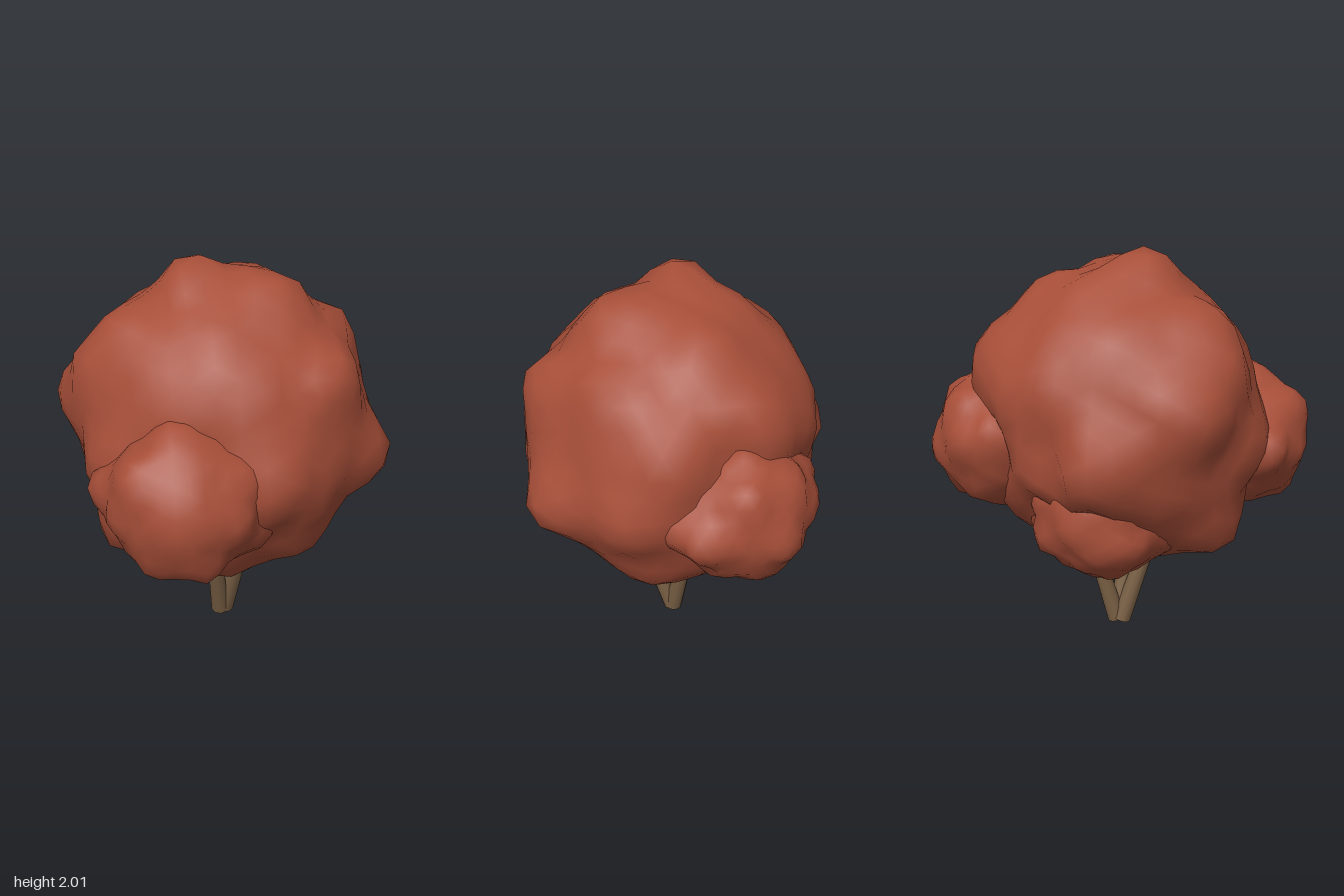
import * as THREE from 'three';
import { mergeVertices } from 'three/addons/utils/BufferGeometryUtils.js';

const leafMaterial = new THREE.MeshStandardMaterial({ color: 0xa64e38 });
const barkMaterial = new THREE.MeshStandardMaterial({ color: 0x7a6045 });

// Lumpy ball: a sphere pulled to given surface points (peaks or hollows), plus gentle waves
function makeClump(name, center, radius, detail, points, sharpness, wave, seed) {
  let geometry = new THREE.IcosahedronGeometry(1, detail);
  geometry.deleteAttribute('normal');
  geometry.deleteAttribute('uv');
  geometry = mergeVertices(geometry, 1e-4);

  const bumps = points.map((p) => {
    const v = new THREE.Vector3(...p);
    const height = v.length() - radius;
    return { dir: v.normalize(), height };
  });
  const pos = geometry.attributes.position;
  const d = new THREE.Vector3();
  for (let i = 0; i < pos.count; i++) {
    d.fromBufferAttribute(pos, i).normalize();
    let r = radius;
    r += wave * Math.sin(6 * d.x + seed) * Math.sin(7 * d.y + 2 * seed) * Math.cos(6.5 * d.z - seed);
    r += wave * 0.5 * Math.sin(13 * d.x - 9 * d.y + 11 * d.z + seed);
    let push = 0;
    for (const b of bumps) {
      const h = b.height * Math.exp((d.dot(b.dir) - 1) * sharpness);
      push = Math.abs(h) > Math.abs(push) ? h : push;
    }
    d.multiplyScalar(r + push);
    pos.setXYZ(i, d.x, d.y, d.z);
  }
  geometry.computeVertexNormals();
  const mesh = new THREE.Mesh(geometry, leafMaterial);
  mesh.name = name;
  mesh.position.set(...center);
  return mesh;
}

// Straight tapered stem between two points
function makeStem(name, from, to, bottomRadius, topRadius) {
  const a = new THREE.Vector3(...from);
  const b = new THREE.Vector3(...to);
  const axis = b.clone().sub(a);
  const mesh = new THREE.Mesh(
    new THREE.CylinderGeometry(topRadius, bottomRadius, axis.length(), 10), barkMaterial);
  mesh.name = name;
  mesh.position.copy(a).add(b).multiplyScalar(0.5);
  mesh.quaternion.setFromUnitVectors(new THREE.Vector3(0, 1, 0), axis.normalize());
  return mesh;
}

export function createModel() {
  const tree = new THREE.Group();
  tree.name = 'tree';

  // Three stems spreading from one foot
  const trunk = new THREE.Group();
  trunk.name = 'trunk';
  trunk.add(
    makeStem('frontStem', [0.01, 0.01, 0.005], [0.0, 0.6, 0.2], 0.05, 0.038),
    makeStem('rightStem', [-0.015, 0.01, 0.0], [-0.17, 0.6, 0.13], 0.05, 0.036),
    makeStem('leftStem', [0.015, 0.01, 0.0], [0.15, 0.6, -0.09], 0.048, 0.036),
  );
  tree.add(trunk);

  // Main crown, with its peaks given relative to its centre
  const peaks = [
    [-0.17, 0.84, -0.03], [0.12, 0.77, 0.18], [0.1, 0.77, 0.32], [0.33, 0.69, -0.15],
    [-0.3, 0.66, 0.24], [0.1, 0.64, 0.43], [-0.68, 0.42, -0.22], [-0.59, 0.56, -0.12],
    [-0.66, 0.2, -0.45], [0.76, 0.27, 0.05], [0.78, -0.06, 0.25], [0.5, -0.12, 0.67],
    [-0.25, -0.08, 0.76], [-0.27, -0.08, -0.76], [0.22, 0.25, -0.66], [0.55, 0.4, -0.42],
    [0.2, 0.41, 0.68], [-0.24, 0.38, 0.58], [-0.63, -0.57, -0.1], [0.56, -0.53, 0.1],
    [0.38, -0.66, 0.05], [0.14, -0.78, -0.05], [-0.2, -0.75, 0.27], [-0.45, -0.64, 0.15],
    [0.1, -0.54, 0.57], [0, -0.26, 0.71], [-0.2, 0.56, -0.46], [0.0, 0.74, -0.27],
    [-0.77, -0.08, -0.02], [0.5, 0.52, 0.33],
  ];
  // Hollows between the peaks and where the smaller clumps sit
  const hollows = [
    [-0.48, 0.0, 0.4], [0.55, -0.1, -0.33], [0.37, -0.08, -0.51], [-0.1, -0.42, -0.46],
    [0.12, -0.35, -0.52], [0.02, -0.02, -0.65], [-0.3, 0.17, -0.58], [0.6, 0.15, -0.24],
  ];
  tree.add(makeClump('mainCrown', [0, 1.16, 0], 0.72, 7, [...peaks, ...hollows], 32, 0.016, 1.3));

  // Smaller clumps on the sides and low at the back
  tree.add(makeClump('rightClump', [-0.5, 1.02, 0.35], 0.35, 5, [
    [-0.35, 0.22, 0.02], [-0.06, 0.4, 0.05], [-0.37, -0.02, -0.07], [-0.26, -0.28, 0.08],
    [0.08, -0.02, 0.38], [-0.22, 0.02, 0.31], [0.33, -0.21, 0.24], [0.14, -0.39, 0.05],
    [-0.31, 0.02, -0.33], [0.22, 0.16, 0.3], [-0.1, -0.28, 0.27],
  ], 20, 0.012, 2.1));
  tree.add(makeClump('leftClump', [0.49, 1.06, -0.29], 0.335, 5, [
    [0.38, 0.0, 0.22], [0.3, 0.24, -0.02], [0.3, -0.06, -0.22], [0.04, 0.08, -0.36],
    [0.13, 0.34, -0.04], [0.23, -0.26, 0.1], [0.22, -0.26, -0.14], [0.14, 0.24, -0.26],
    [0.25, 0.02, 0.39], [0.2, 0.18, 0.27], [0.03, -0.26, -0.24], [-0.16, 0.08, -0.37],
  ], 20, 0.014, 0.6));
  tree.add(makeClump('backClump', [-0.1, 0.77, -0.37], 0.3, 5, [
    [0.0, 0.02, -0.32], [0.26, -0.1, -0.22], [-0.24, -0.1, -0.2], [0.03, -0.3, -0.06],
    [-0.18, 0.16, -0.22], [0.08, 0.19, -0.29], [0.28, 0.13, -0.2], [-0.35, -0.12, 0.12],
    [0.38, -0.07, -0.04],
  ], 20, 0.014, 3.7));

  return tree;
}
